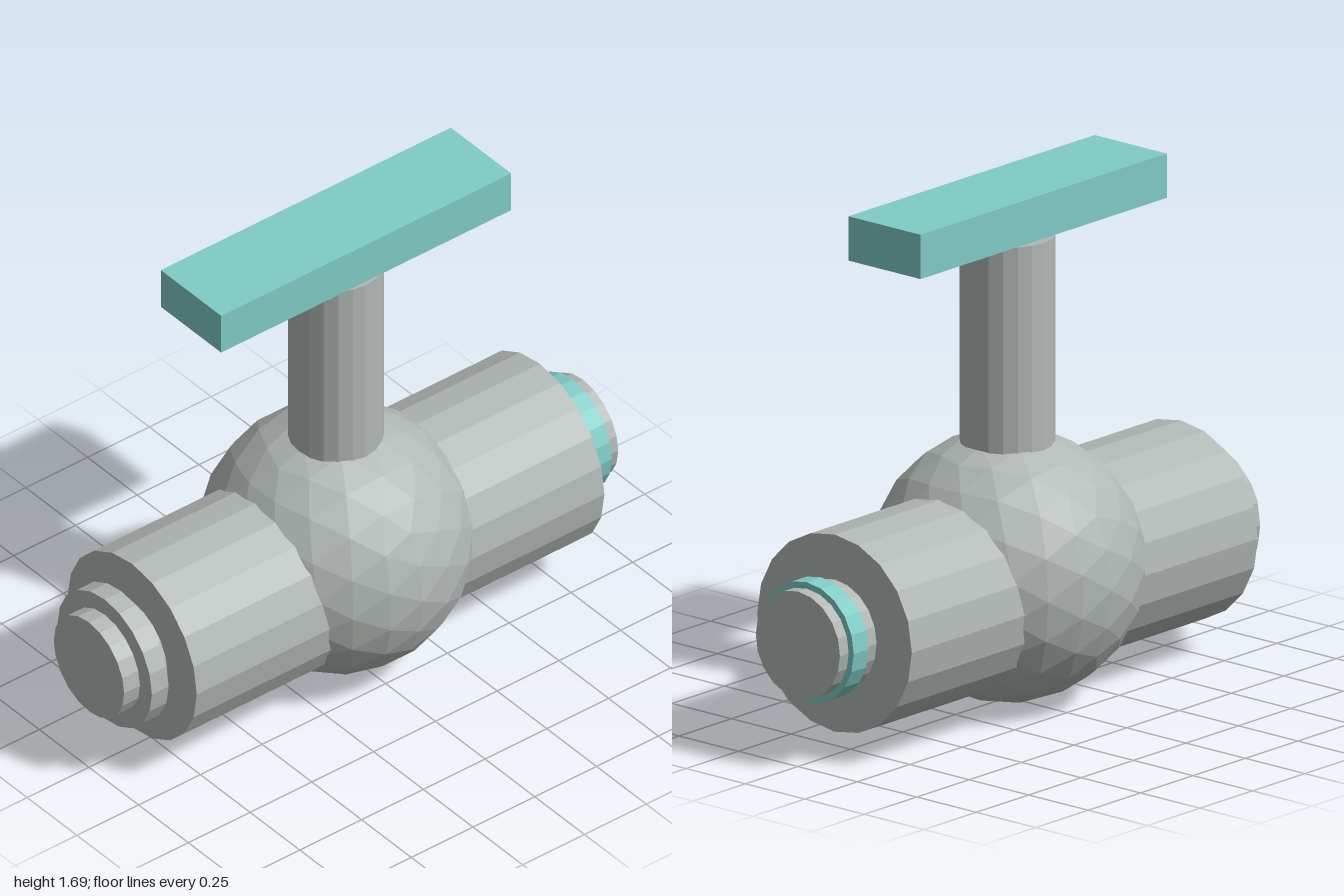
import * as THREE from 'three';

const metal = new THREE.MeshStandardMaterial({ color: 0xb1b8b5 });
metal.name = 'grey metal';
const teal = new THREE.MeshStandardMaterial({ color: 0x80cbc6 });
teal.name = 'teal paint';
metal.flatShading = teal.flatShading = true;

const SIDES = 20;
const AXIS_Y = 0.4;

export function createModel() {
  const group = new THREE.Group();

  const add = (name, geometry, material, x, y) => {
    const mesh = new THREE.Mesh(geometry, material);
    mesh.name = name;
    mesh.position.set(x, y, 0);
    group.add(mesh);
  };

  // Cylinder lying along x, from x0 to x1
  const pipe = (name, radius, x0, x1, material = metal) => {
    const geometry = new THREE.CylinderGeometry(radius, radius, x1 - x0, SIDES);
    geometry.rotateZ(Math.PI / 2);
    add(name, geometry, material, (x0 + x1) / 2, AXIS_Y);
  };

  // Faceted ball housing
  add('ballHousing', new THREE.IcosahedronGeometry(0.44, 3), metal, 0, 0.44);

  // Main body and the narrower pipe ends
  pipe('bodyPipe', 0.325, -0.825, 0.825);
  pipe('pipeEnds', 0.177, -1, 1);

  // Collars: plain on the right, coloured on the left
  pipe('rightCollar', 0.237, -0.936, -0.868);
  pipe('leftCollar', 0.198, 0.887, 0.958, teal);

  // Stem and the handle floating just above it
  add('stem', new THREE.CylinderGeometry(0.152, 0.152, 1.09, SIDES), metal, 0, 0.983);
  add('handle', new THREE.BoxGeometry(1.174, 0.146, 0.304), teal, 0, 1.616);

  return group;
}
